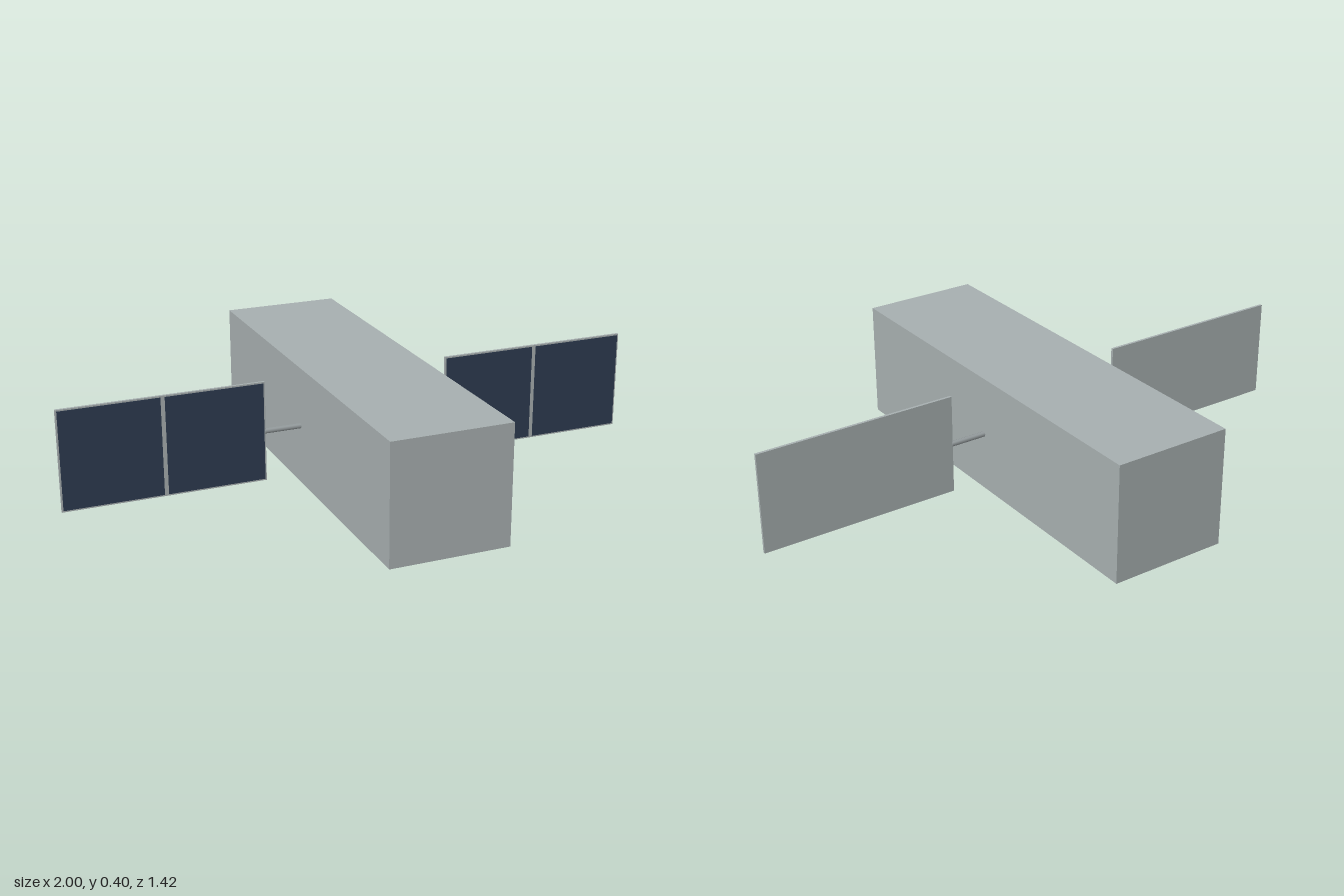
import * as THREE from 'three';

export function createModel() {
  const model = new THREE.Group();
  model.name = 'satellite';

  const hull = new THREE.MeshStandardMaterial({ name: 'hull grey', color: 0xa8b0b1 });
  const rod = new THREE.MeshStandardMaterial({ name: 'boom grey', color: 0x969d9f });
  const solar = new THREE.MeshStandardMaterial({ name: 'solar navy', color: 0x2d3b50 });

  const add = (name, geometry, material, x, y, z, parent) => {
    const mesh = new THREE.Mesh(geometry, material);
    mesh.name = name;
    mesh.position.set(x, y, z);
    parent.add(mesh);
    return mesh;
  };

  // Long box-shaped bus
  const midY = 0.2;
  add('body', new THREE.BoxGeometry(0.4, 0.4, 1.424), hull, 0, midY, 0, model);

  // One boom and solar wing on each side
  const inner = 0.322, outer = 1, height = 0.34, thick = 0.009;
  const width = outer - inner, centre = (inner + outer) / 2;
  const rim = 0.005, rib = 0.014;
  const cellWidth = (width - rib) / 2 - rim;

  for (const side of [1, -1]) {
    const wing = new THREE.Group();
    wing.name = side > 0 ? 'leftWing' : 'rightWing';
    model.add(wing);

    const boom = add('boom', new THREE.CylinderGeometry(0.009, 0.009, 0.14, 8),
      rod, side * 0.255, midY, 0, wing);
    boom.rotation.z = Math.PI / 2;

    add('panel', new THREE.BoxGeometry(width, height, thick), hull, side * centre, midY, 0, wing);

    // Two dark cell plates on the front face, split by a rib
    for (const half of [-1, 1]) {
      add('solarCell', new THREE.BoxGeometry(cellWidth, height - 2 * rim, 0.002), solar,
        side * centre + half * (rib + cellWidth) / 2, midY, thick / 2 + 0.0005, wing);
    }
  }
  return model;
}
